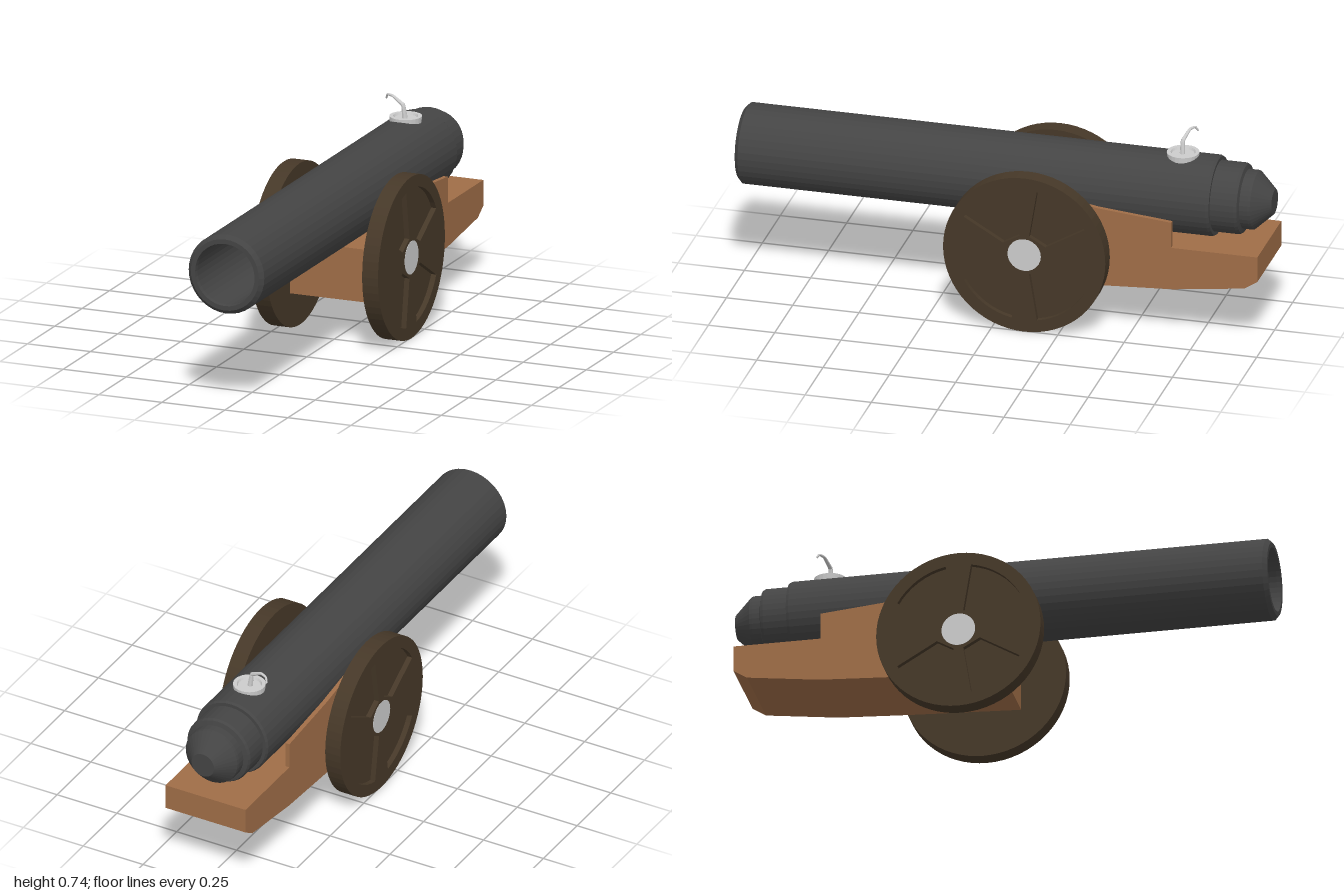
import * as THREE from 'three';

const mat = (color) => new THREE.MeshStandardMaterial({ color, flatShading: true });
const iron = mat(0x444444), wood = mat(0x9f6d47), darkWood = mat(0x463828), steel = mat(0xcccccc);

function add(parent, name, geometry, material) {
  const mesh = new THREE.Mesh(geometry, material);
  mesh.name = name;
  parent.add(mesh);
  return mesh;
}

const lathe = (points, sides) =>
  new THREE.LatheGeometry(points.map(([r, y]) => new THREE.Vector2(r, y)), sides);

// Extrudes a [z, y] side profile along x, centred on x = 0
function sideExtrude(profile, width) {
  const shape = new THREE.Shape(profile.map(([z, y]) => new THREE.Vector2(-z, y)));
  return new THREE.ExtrudeGeometry(shape, { depth: width, bevelEnabled: false })
    .translate(0, 0, -width / 2).rotateY(Math.PI / 2);
}

// Thin disc with four recessed panels on its outer (+z) face
function createWheel() {
  const wheel = new THREE.Group();
  const R = 0.306, width = 0.063, recess = 0.02;
  const extrude = (shape, depth, z) =>
    new THREE.ExtrudeGeometry(shape, { depth, bevelEnabled: false, curveSegments: 32 }).translate(0, 0, z);
  const disc = () => new THREE.Shape().absarc(0, 0, R, 0, Math.PI * 2);

  add(wheel, 'wheelDisc', extrude(disc(), width - recess, 0), darkWood);

  const face = disc();
  const a = THREE.MathUtils.degToRad(29), b = THREE.MathUtils.degToRad(79.5);
  for (const [sx, sy] of [[1, 1], [-1, 1], [-1, -1], [1, -1]]) {
    const points = [];
    for (let i = 0; i <= 8; i++) {
      const t = a + (b - a) * i / 8;
      points.push(new THREE.Vector2(sx * 0.26 * Math.cos(t), sy * 0.26 * Math.sin(t)));
    }
    points.push(new THREE.Vector2(sx * 0.018, sy * 0.075), new THREE.Vector2(sx * 0.08, sy * 0.04));
    face.holes.push(new THREE.Path(points));
  }
  add(wheel, 'spokesAndRim', extrude(face, recess, width - recess), darkWood);

  const hub = new THREE.CylinderGeometry(0.063, 0.063, 0.02, 24).rotateX(Math.PI / 2);
  add(wheel, 'hub', hub, steel).position.z = width - 0.009;
  return wheel;
}

// Bent wick that thins towards its tip
function createWick() {
  const path = new THREE.CatmullRomCurve3([
    [0, 0.65, -0.652], [-0.009, 0.712, -0.652], [-0.055, 0.738, -0.665],
    [-0.082, 0.738, -0.678], [-0.091, 0.72, -0.688],
  ].map((p) => new THREE.Vector3(...p)), false, 'catmullrom', 0.1);
  const steps = 24, sides = 8;
  const geometry = new THREE.TubeGeometry(path, steps, 0.011, sides);
  const pos = geometry.attributes.position, v = new THREE.Vector3();
  for (let i = 0; i < pos.count; i++) {
    const t = Math.floor(i / (sides + 1)) / steps;
    const centre = path.getPointAt(t);
    v.fromBufferAttribute(pos, i).sub(centre).multiplyScalar(1 - 0.7 * t).add(centre);
    pos.setXYZ(i, v.x, v.y, v.z);
  }
  return geometry;
}

export function createModel() {
  const model = new THREE.Group();
  model.name = 'cannon';

  // Barrel: stepped breech, long tube, bevelled muzzle and hollow bore
  const barrel = lathe([
    [0, -1], [0.047, -1], [0.108, -0.935], [0.11, -0.925], [0.11, -0.895],
    [0.127, -0.89], [0.132, -0.88], [0.132, -0.79], [0.145, -0.79], [0.15, -0.78],
    [0.15, 0.985], [0.135, 1], [0.118, 1], [0.115, 0.985],
    [0.115, -0.85], [0.047, -0.93], [0, -0.93],
  ], 36).rotateX(Math.PI / 2);
  add(model, 'barrel', barrel, iron).position.y = 0.512;

  // Carriage: solid bed with a cheek on each side
  const carriage = new THREE.Group();
  carriage.name = 'carriage';
  model.add(carriage);
  add(carriage, 'bed', sideExtrude([
    [0.02, 0.16], [0.02, 0.36], [-0.98, 0.36], [-0.98, 0.262], [-0.93, 0.23], [-0.66, 0.195], [-0.4, 0.18],
  ], 0.334), wood);

  const cheekProfile = [
    [0.02, 0.36], [-0.03, 0.46], [-0.07, 0.513], [-0.11, 0.54], [-0.15, 0.54],
    [-0.2, 0.513], [-0.38, 0.485], [-0.655, 0.46], [-0.655, 0.36],
  ];
  for (const side of [1, -1]) {
    const cheek = sideExtrude(cheekProfile, 0.017).translate(side * 0.1585, 0, 0);
    // Draw the outer top edge slightly inwards
    const pos = cheek.attributes.position;
    for (let i = 0; i < pos.count; i++) {
      if (pos.getY(i) > 0.53 && Math.abs(pos.getX(i)) > 0.16) pos.setX(i, side * 0.163);
    }
    cheek.computeVertexNormals();
    add(carriage, side > 0 ? 'leftCheek' : 'rightCheek', cheek, wood);
  }

  // Axle and wheels
  const axle = new THREE.CylinderGeometry(0.028, 0.028, 0.4, 16).rotateZ(Math.PI / 2);
  add(model, 'axle', axle, wood).position.set(0, 0.306, -0.124);
  for (const side of [1, -1]) {
    const wheel = createWheel();
    wheel.name = side > 0 ? 'leftWheel' : 'rightWheel';
    wheel.position.set(side * 0.19, 0.306, -0.124);
    wheel.rotation.y = side * Math.PI / 2;
    model.add(wheel);
  }

  // Fuse: shallow dish with a raised rim, and a bent wick
  const fuse = new THREE.Group();
  fuse.name = 'fuse';
  model.add(fuse);
  const dish = lathe([[0, 0.64], [0.058, 0.645], [0.06, 0.672], [0.046, 0.672], [0.042, 0.664], [0, 0.664]], 24);
  add(fuse, 'fuseDish', dish, steel).position.z = -0.655;
  add(fuse, 'wick', createWick(), steel);

  return model;
}
